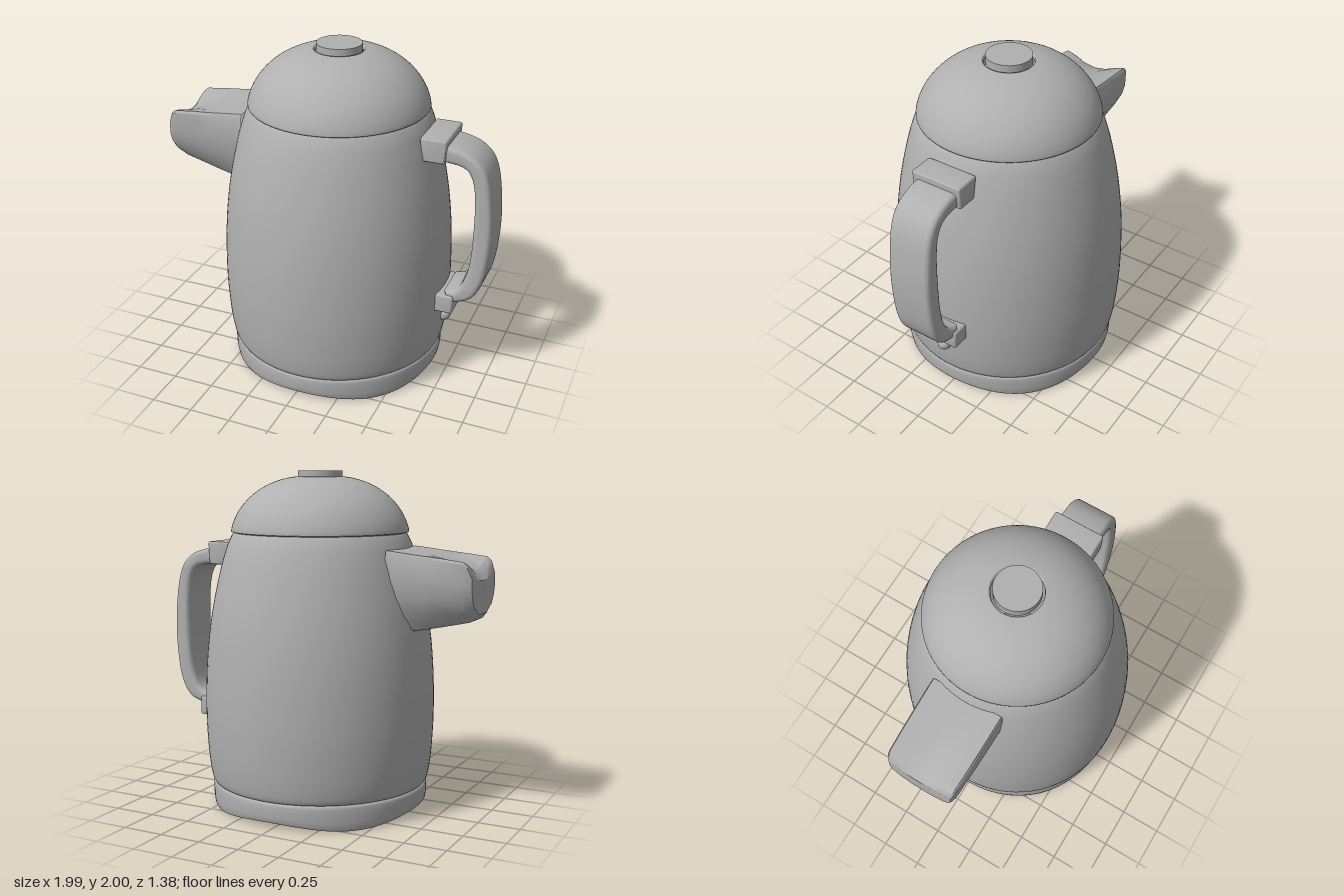
import * as THREE from 'three';
import { toCreasedNormals } from 'three/addons/utils/BufferGeometryUtils.js';
import { RoundedBoxGeometry } from 'three/addons/geometries/RoundedBoxGeometry.js';

const CX = 0.024; // axis of the round body

export function createModel() {
  const group = new THREE.Group();
  const grey = new THREE.MeshStandardMaterial({ color: 0xb0b0b0, side: THREE.DoubleSide });
  grey.name = 'plain grey';

  const add = (name, geometry, x = 0, y = 0, z = 0) => {
    const mesh = new THREE.Mesh(geometry, grey);
    mesh.name = name;
    mesh.position.set(x, y, z);
    group.add(mesh);
    return mesh;
  };
  const v2 = (list) => list.map(([x, y]) => new THREE.Vector2(x, y));
  const lathe = (list) => new THREE.LatheGeometry(v2(list), 96);
  const smooth = (list, n) => new THREE.SplineCurve(v2(list)).getPoints(n).map((p) => [p.x, p.y]);

  // Hollow body shell, open below
  add('body', lathe([[0.63, 0.152], ...smooth([
    [0.648, 0.157], [0.661, 0.19], [0.677, 0.3], [0.688, 0.47], [0.69, 0.62], [0.684, 0.82],
    [0.667, 1.02], [0.637, 1.22], [0.593, 1.42], [0.555, 1.55], [0.53, 1.61], [0.512, 1.64]], 48)]), CX);

  // Base ring whose lower rim rises and falls four times round
  const base = lathe([[0.638, 0.0], [0.645, 0.015], [0.65, 0.05], [0.651, 0.1], [0.651, 0.135], [0.646, 0.15], [0.63, 0.152]]);
  const bp = base.attributes.position;
  for (let i = 0; i < bp.count; i++) {
    const y = bp.getY(i);
    const wave = 0.017 * (1 + Math.cos(4 * Math.atan2(bp.getZ(i), bp.getX(i))));
    bp.setY(i, y + wave * Math.max(0, 1 - y / 0.13));
  }
  base.computeVertexNormals();
  add('baseRing', base, CX);

  // Domed lid with a round opening for the button
  add('lid', lathe([[0.512, 1.64], ...smooth([
    [0.527, 1.645], [0.524, 1.668], [0.508, 1.715], [0.475, 1.775], [0.425, 1.835], [0.36, 1.888],
    [0.285, 1.928], [0.21, 1.953], [0.145, 1.965]], 36), [0.142, 1.945]]), CX);
  add('lidButton', new THREE.CylinderGeometry(0.131, 0.131, 0.055, 64), CX, 1.9725, 0);

  // Spout lofted from cross-sections: [x, top, notch depth, bottom, half width, bottom half width]
  const sections = [
    [-0.5, 1.562, 0, 1.075, 0.222, 0.12],
    [-0.54, 1.558, 0, 1.085, 0.222, 0.12],
    [-0.71, 1.54, 0.005, 1.117, 0.22, 0.11],
    [-0.84, 1.528, 0.03, 1.145, 0.217, 0.1],
    [-0.95, 1.515, 0.06, 1.17, 0.214, 0.095],
    [-0.975, 1.495, 0.065, 1.183, 0.21, 0.09],
    [-1.0, 1.43, 0.03, 1.215, 0.195, 0.08],
  ];
  const rings = sections.map(([x, t, d, b, w, wb]) => {
    const h = t - b;
    const half = [[0.35 * w, t - d * 0.8], [0.75 * w, t - d * 0.2], [0.96 * w, t],
      [w, t - 0.04 * h], [w, t - 0.35 * h], [0.92 * w, t - 0.58 * h], [0.75 * w, t - 0.8 * h], [wb, b + 0.01], [wb * 0.8, b]];
    const loop = [[0, t - d], ...half, ...half.map(([z, y]) => [-z, y]).reverse()];
    return loop.map(([z, y]) => [x, y, z]);
  });
  const n = rings[0].length;
  const verts = rings.flat(2);
  const idx = [];
  for (let r = 0; r < rings.length - 1; r++) {
    for (let i = 0; i < n; i++) {
      const a = r * n + i, b = r * n + (i + 1) % n;
      idx.push(a, a + n, b, b, a + n, b + n);
    }
  }
  const last = (rings.length - 1) * n; // closed tip
  verts.push(-1.0, 1.32, 0);
  for (let i = 0; i < n; i++) idx.push(last + i, rings.length * n, last + (i + 1) % n);
  const spout = new THREE.BufferGeometry();
  spout.setAttribute('position', new THREE.Float32BufferAttribute(verts, 3));
  spout.setIndex(idx);
  add('spout', toCreasedNormals(spout, 0.5));

  // Handle: curved strap with rounded edges
  const outer = smooth([[0.68, 1.53], [0.76, 1.522], [0.86, 1.487], [0.935, 1.41], [0.975, 1.27], [0.995, 1.03],
    [0.98, 0.8], [0.945, 0.66], [0.88, 0.575], [0.76, 0.535]], 40);
  const inner = smooth([[0.74, 0.61], [0.81, 0.635], [0.855, 0.71], [0.882, 0.84], [0.89, 1.03],
    [0.887, 1.22], [0.865, 1.35], [0.81, 1.415], [0.68, 1.432]], 40);
  const bevel = 0.028;
  const strap = new THREE.ExtrudeGeometry(new THREE.Shape(v2([...outer, ...inner])), {
    depth: 0.27 - 2 * bevel, bevelEnabled: true, bevelThickness: bevel, bevelSize: bevel, bevelOffset: -bevel, bevelSegments: 4,
  });
  add('handle', toCreasedNormals(strap, 0.7), 0, 0, -0.135 + bevel);

  // Handle mounts, flared towards the wall of the body
  const mount = (name, w, h, d, x, y, slope) => {
    const g = new RoundedBoxGeometry(w, h, d, 3, 0.012);
    const p = g.attributes.position;
    for (let i = 0; i < p.count; i++) {
      if (p.getY(i) < 0) p.setX(i, p.getX(i) + slope * (p.getX(i) < 0 ? 1 : -0.4));
    }
    g.computeVertexNormals();
    add(name, toCreasedNormals(g, 0.6), x, y, 0);
  };
  mount('upperMount', 0.155, 0.14, 0.315, 0.642, 1.5, 0.02);
  mount('lowerMount', 0.12, 0.115, 0.3, 0.74, 0.533, 0);

  // Small round knob under the handle
  add('knob', new THREE.SphereGeometry(0.041, 24, 16), 0.713, 0.375, 0);
  return group;
}
